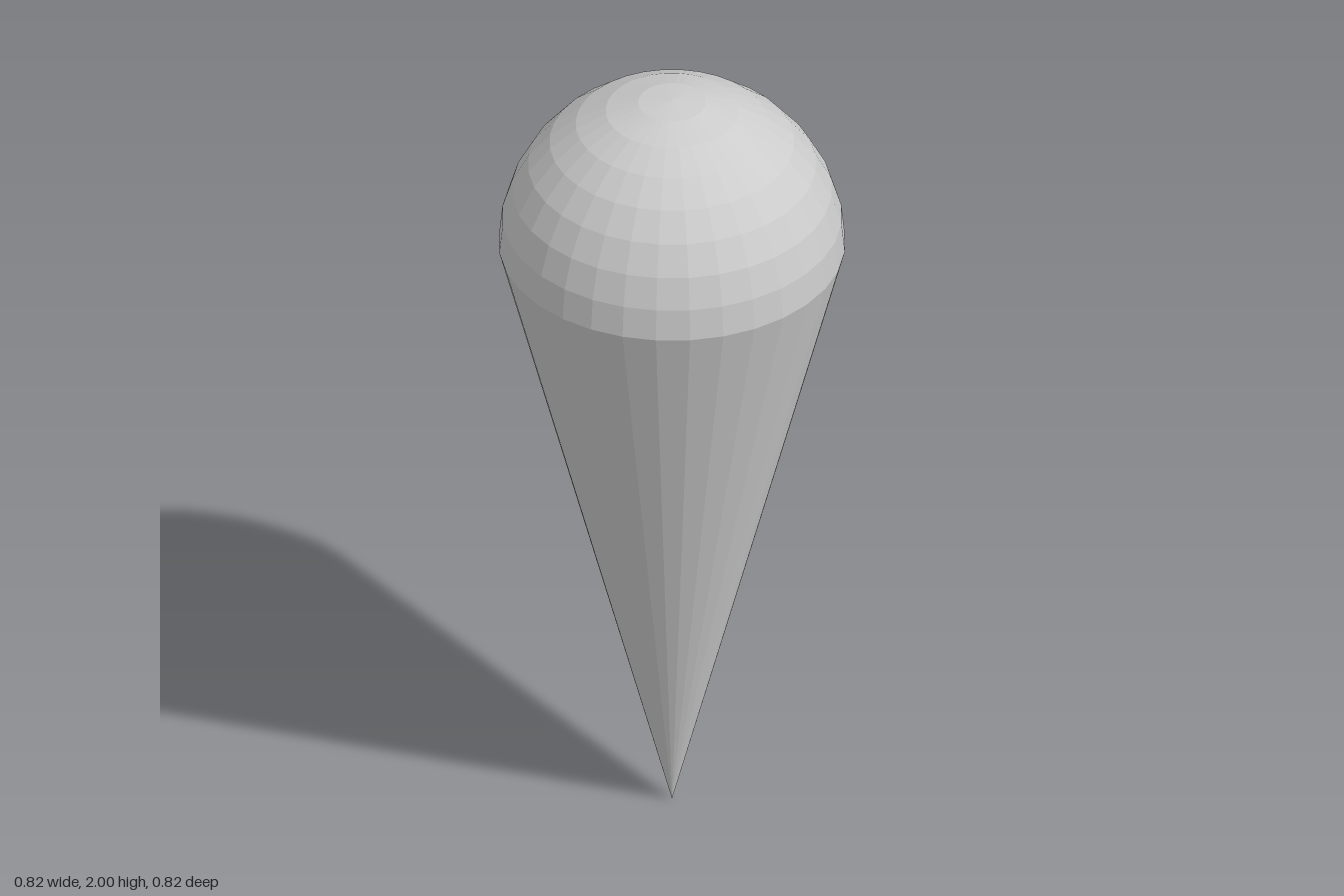
import * as THREE from 'three';

const RADIUS = 0.41;
const SEAM_Y = 2 - RADIUS;
const SIDES = 32;

export function createModel() {
  const model = new THREE.Group();
  const material = new THREE.MeshStandardMaterial({
    color: 0xcccccc, flatShading: true, side: THREE.DoubleSide,
  });

  const add = (name, geometry, y) => {
    const mesh = new THREE.Mesh(geometry, material);
    mesh.name = name;
    mesh.position.y = y;
    model.add(mesh);
  };

  // Rounded top: a faceted half sphere of eight rings
  add('dome', new THREE.SphereGeometry(RADIUS, SIDES, 8, 0, Math.PI * 2, 0, Math.PI / 2), SEAM_Y);

  // Long cone, point down, meeting the dome at its widest ring
  add('cone', new THREE.CylinderGeometry(RADIUS, 0, SEAM_Y, SIDES, 1, true), SEAM_Y / 2);

  return model;
}
